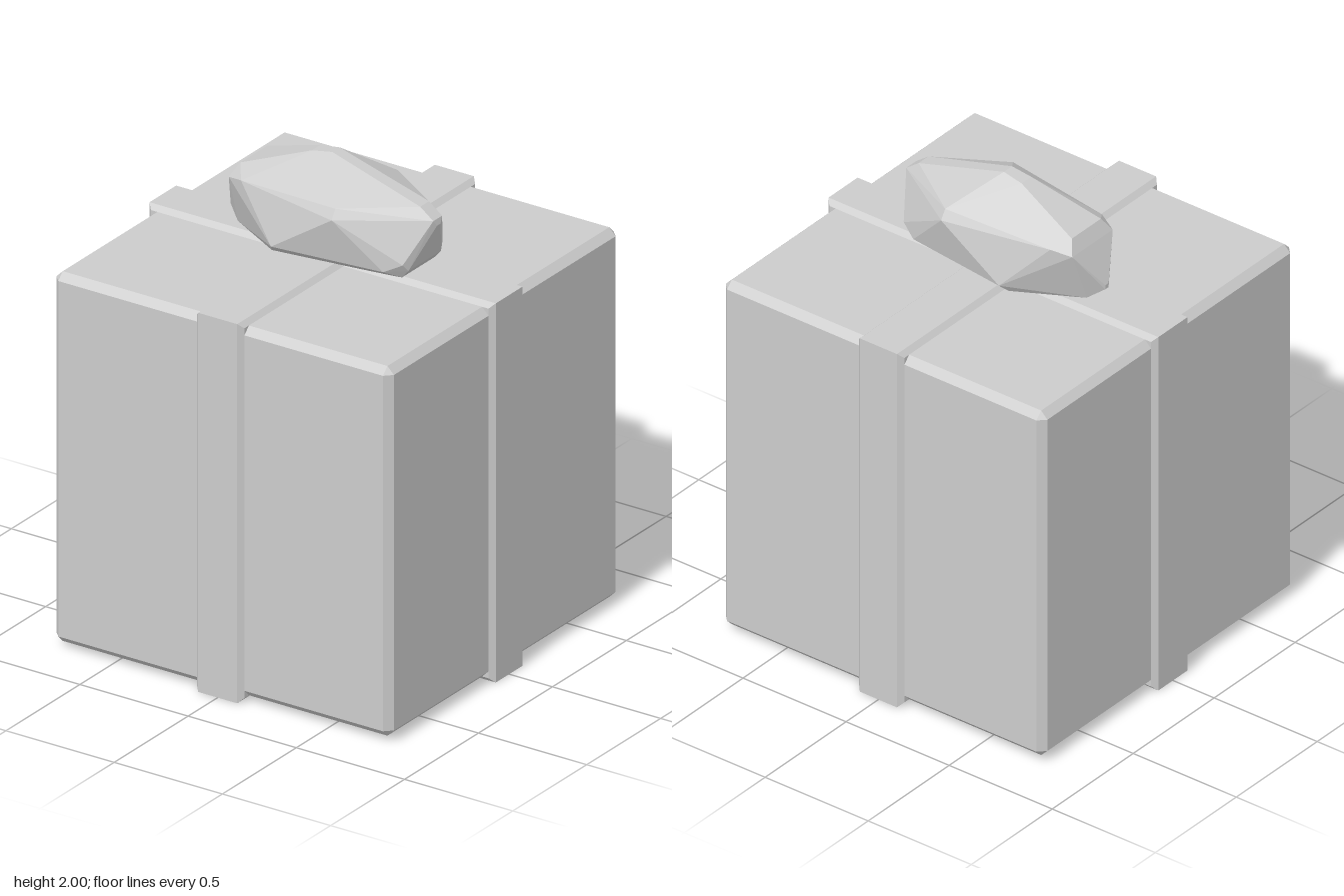
import * as THREE from 'three';
import { ConvexGeometry } from 'three/addons/geometries/ConvexGeometry.js';

const MID = 0.8; // height of the box centre

// Every sign combination of one corner point, about the box centre
function corners(x, y, z) {
  const out = [];
  for (const i of [-1, 1]) for (const j of [-1, 1]) for (const k of [-1, 1]) {
    out.push(new THREE.Vector3(i * x, j * y, k * z));
  }
  return out;
}

export function createModel() {
  const group = new THREE.Group();
  group.name = 'giftBox';
  const grey = new THREE.MeshStandardMaterial({ color: 0xcccccc });
  grey.name = 'plain grey';

  const add = (name, points, y) => {
    const mesh = new THREE.Mesh(new ConvexGeometry(points), grey);
    mesh.name = name;
    mesh.position.y = y;
    group.add(mesh);
  };

  // Box with chamfered edges
  const h = 0.78, c = 0.75;
  add('box', [...corners(h, c, c), ...corners(c, h, c), ...corners(c, c, h)], MID);

  // Two ribbons round the box, their edges flaring down to its faces
  add('ribbonFrontToBack', [...corners(0.09, 0.8, 0.8), ...corners(0.11, 0.78, 0.78)], MID);
  add('ribbonSideToSide', [...corners(0.8, 0.8, 0.09), ...corners(0.78, 0.78, 0.11)], MID);

  // Faceted bow: half of the corners, mirrored across z
  const half = [
    [0, 2, 0.025], [-0.09, 1.985, 0.03],                              // crown
    [-0.38, 1.88, 0.09], [-0.41, 1.825, 0.125], [-0.33, 1.845, 0.16], // upper left
    [0.41, 1.88, 0.03], [0.47, 1.835, 0.03], [0.475, 1.81, 0.012],    // right tip
    [-0.48, 1.668, 0.01], [-0.48, 1.65, 0.01], [-0.42, 1.608, 0.05],  // left tip
    [0.14, 1.87, 0.21], [0.14, 1.83, 0.235],                          // upper side
    [-0.14, 1.645, 0.235], [-0.16, 1.612, 0.2],                       // lower side
    [0.4, 1.67, 0.135], [0.41, 1.64, 0.11], [0.38, 1.605, 0.11], [0.33, 1.635, 0.165], // lower right
    [-0.25, 1.58, 0.03], [-0.05, 1.58, 0.11], [0.28, 1.58, 0.08],     // underside
  ];
  const bow = half.flatMap(([x, y, z]) => [new THREE.Vector3(x, y, z), new THREE.Vector3(x, y, -z)]);
  add('bow', bow, 0);

  return group;
}
